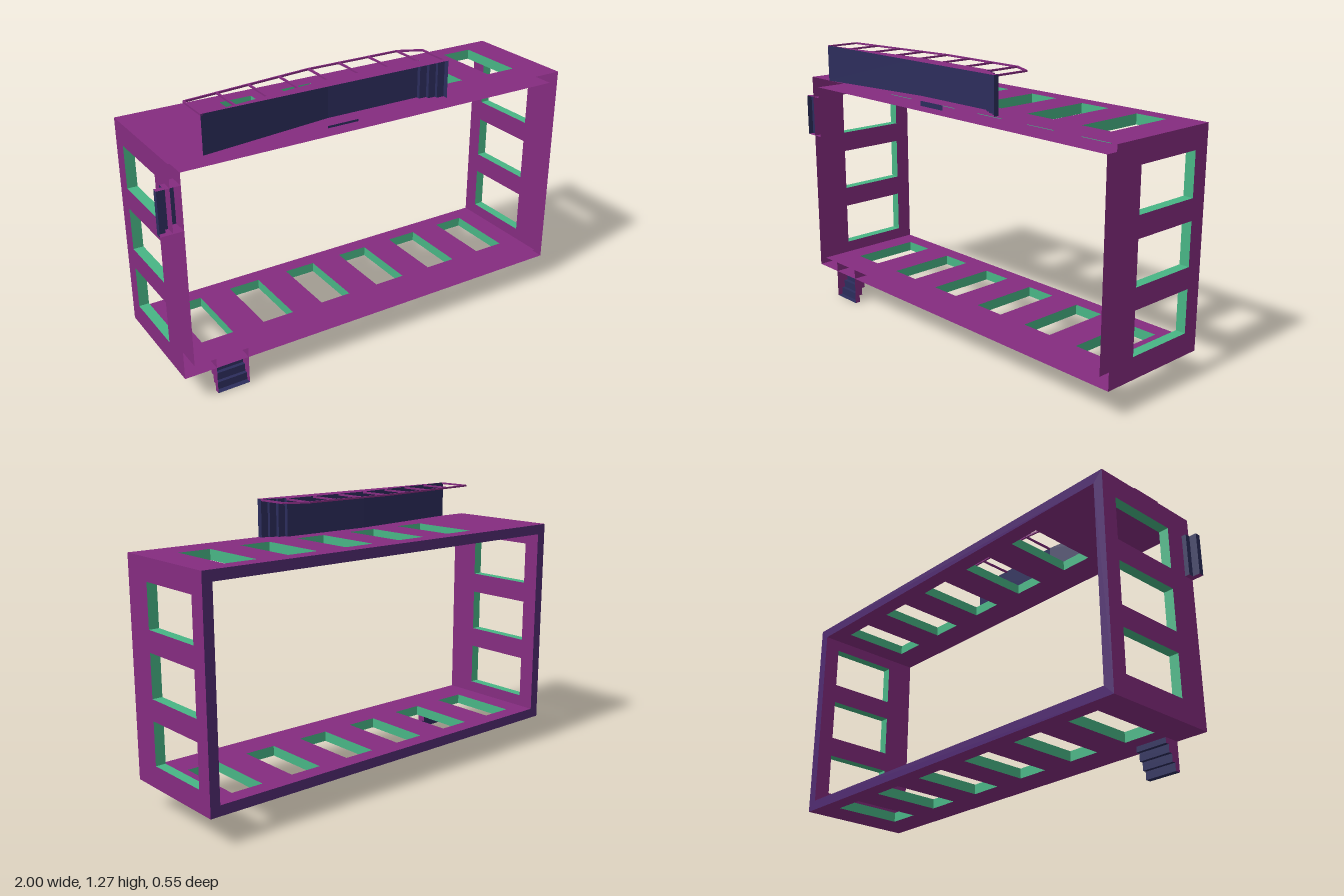
import * as THREE from 'three';
import { mergeGeometries } from 'three/addons/utils/BufferGeometryUtils.js';

const mat = (name, color) => new THREE.MeshStandardMaterial({ name, color, side: THREE.DoubleSide });
const V = (a) => a.map(([x, y]) => new THREE.Vector2(x, y));
const rect = (a, b, c, d) => [[a, c], [b, c], [b, d], [a, d]];

// Flat polygon with holes; map turns its (u, v) into [x, y, z]
function face(points, holes, map) {
  const shape = new THREE.Shape(V(points));
  holes.forEach((h) => shape.holes.push(new THREE.Path(V(h))));
  const g = new THREE.ShapeGeometry(shape);
  const p = g.attributes.position;
  for (let i = 0; i < p.count; i++) p.setXYZ(i, ...map(p.getX(i), p.getY(i)));
  g.computeVertexNormals();
  return g;
}

// Folded sheet: a (u, v) polyline swept from w0 to w1
function sheet(line, w0, w1, map) {
  const pos = [];
  for (let i = 0; i + 1 < line.length; i++) {
    const [a, b] = [line[i], line[i + 1]];
    const q = [map(...a, w0), map(...b, w0), map(...b, w1), map(...a, w1)];
    [0, 1, 2, 0, 2, 3].forEach((k) => pos.push(...q[k]));
  }
  const g = new THREE.BufferGeometry();
  g.setAttribute('position', new THREE.Float32BufferAttribute(pos, 3));
  g.computeVertexNormals();
  return g;
}

export function createModel() {
  const group = new THREE.Group();
  const purple = mat('purple wall', 0x852c80);
  const violet = mat('dark violet roof', 0x4f2a70);
  const green = mat('green window reveal', 0x48b585);
  const navy = mat('navy tread', 0x2c2d5c);
  const add = (name, geos, material) => {
    const m = new THREE.Mesh(mergeGeometries(geos), material);
    m.name = name;
    group.add(m);
  };

  const X0 = -0.945, X1 = 1, Y0 = 0.13, Y1 = 1.105, Z = 0.275, T = 0.046;
  const winZ = [-0.2, 0.132];

  // Hollow walls, open at the front, with windows lined in green
  function wall(name, u0, u1, w, inward, starts, size, axis) {
    const at = (u, z, d) => (axis === 'x' ? [u, d, z] : [d, u, z]);
    const holes = starts.map((s) => rect(s, s + size, ...winZ));
    const wi = w + inward * T;
    add(name, [
      face(rect(u0, u1, -Z, Z), holes, (u, z) => at(u, z, w)),
      face(rect(u0 + T, u1 - T, -Z, Z), holes, (u, z) => at(u, z, wi)),
    ], purple);
    add(name + 'WindowReveals', holes.map((h) => sheet([...h, h[0]], w, wi, at)), green);
  }
  const across = [-0.5, -0.2, 0.1, 0.4, 0.7], up = [0.23, 0.52, 0.81];
  wall('topWall', X0, X1, Y1, -1, across, 0.15, 'x');
  wall('bottomWall', X0, X1, Y0, 1, [-0.8, ...across], 0.15, 'x');
  wall('leftWall', Y0, Y1, X1, -1, up, 0.195, 'y');
  wall('rightWall', Y0, Y1, X0, 1, up, 0.195, 'y');

  // Ring that closes the back of the walls
  add('roofRing', [face(rect(X0, X1, Y0, Y1), [rect(X0 + T, X1 - T, Y0 + T, Y1 - T)],
    (x, y) => [x, y, -Z])], violet);

  // Stepped or sloped deck with closed sides
  function deck(name, line, w0, w1, map) {
    add(name + 'Treads', [sheet(line, w0, w1, map)], navy);
    const end = line[line.length - 1];
    const outline = end[1] < Z ? [...line, [end[0], Z]] : line;
    add(name + 'Sides', [w0, w1].map((w) => face(outline, [], (s, z) => map(s, z, w))), purple);
  }
  const steps = (s0, s1, levels) => {
    const d = (s1 - s0) / levels.length;
    return [[s0, Z], ...levels.flatMap((z, i) => [[s0 + i * d, z], [s0 + (i + 1) * d, z]])];
  };
  deck('bottomStairs', steps(0, Y0 + T, [0.25, 0.234, 0.217, 0.2, 0.184]), -0.8, -0.65,
    (s, z, w) => [w, s, z]);
  deck('sideStairs', steps(-1, X0 + T, [0.25, 0.225, 0.2]), 0.81, 1.005,
    (s, z, w) => [s, w, z]);

  // Ramp, landing and end steps along the top wall
  const RY = 1.274;
  const rampLine = [[-0.8, Z], [-0.2, 0.2], ...steps(0.355, 0.25, [0.25, 0.235, 0.218]).reverse()];
  rampLine.splice(2, 0, [0.25, 0.2]);
  deck('ramp', rampLine, Y1, RY, (s, z, w) => [s, w, z]);
  add('landing', [sheet([[-0.2, 0.2], [-0.05, 0.2]], Y1 - T, Y1, (s, z, w) => [s, w, z])], navy);

  // Handrail and its posts
  const bar = (a, b) => {
    const dx = b[0] - a[0], dz = b[1] - a[1];
    const g = new THREE.BoxGeometry(Math.hypot(dx, dz), 0.008, 0.008);
    g.rotateY(-Math.atan2(dz, dx));
    return g.translate((a[0] + b[0]) / 2, RY - 0.004, (a[1] + b[1]) / 2);
  };
  const rail = [[-0.796, 0.112], [-0.2, 0.042], [0.25, 0.042], [0.352, 0.09]];
  const bars = rail.slice(1).map((b, i) => bar(rail[i], b));
  for (let i = 0; i < 8; i++) {
    const x = -0.796 + i * 0.1494;
    const z = 0.2 + 0.075 * Math.max(0, (-0.2 - x) / 0.6);
    bars.push(bar([x, z], [x, z - 0.16]));
  }
  bars.push(bar([0.352, 0.25], [0.352, 0.09]));
  add('handrail', bars, purple);

  return group;
}
